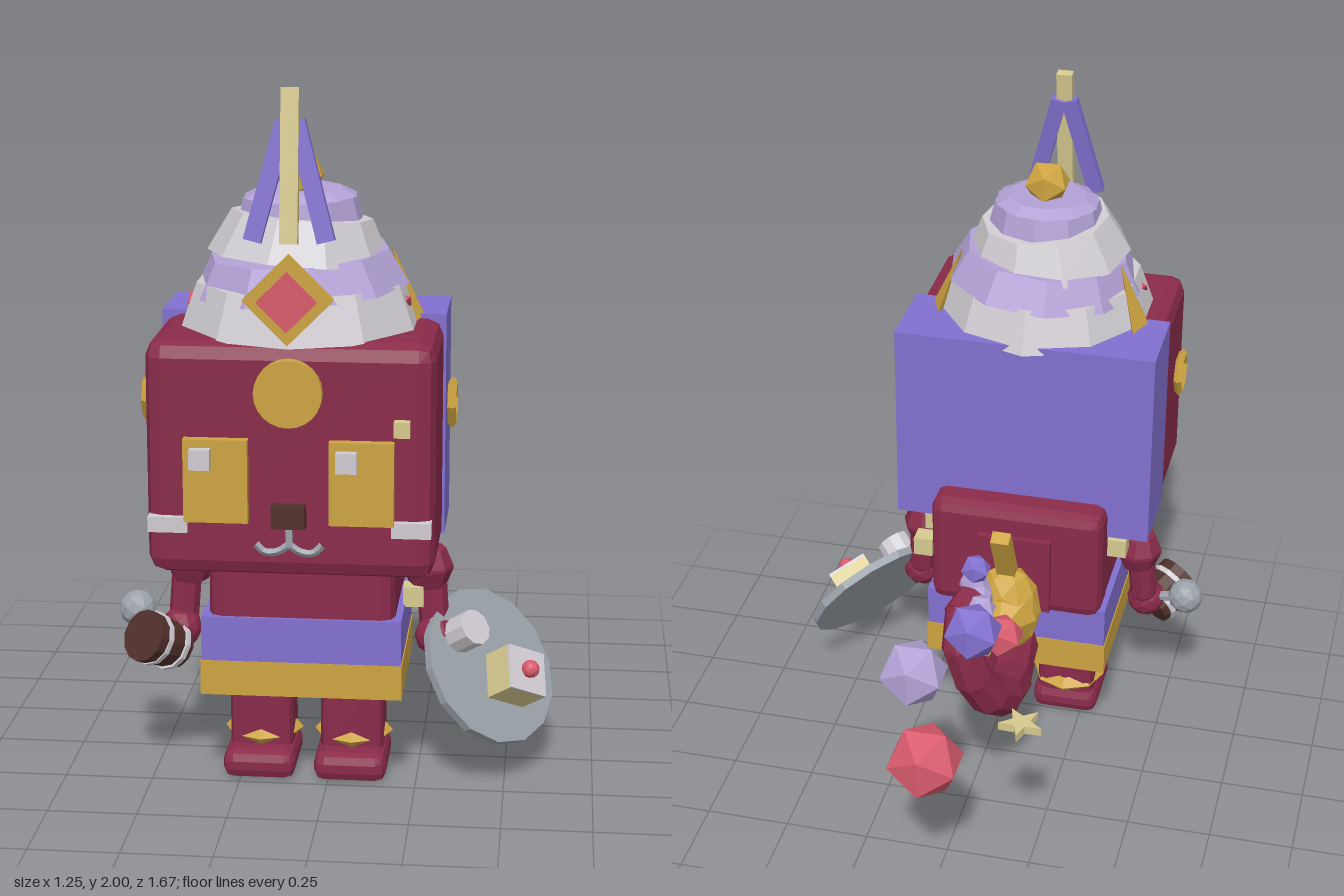
import * as THREE from 'three';
import { RoundedBoxGeometry } from 'three/addons/geometries/RoundedBoxGeometry.js';

const colours = {
  maroon: 0x8a2b4a, purple: 0x8270cf, gold: 0xcda441, lavender: 0xb3a2d6, white: 0xd0ccd2,
  grey: 0x9aa1a8, brown: 0x50302a, pink: 0xd85a6c, cream: 0xd6c98f,
};
const CX = -0.067; // middle of the figure

export function createModel() {
  const model = new THREE.Group();
  model.name = 'catFigure';
  const mats = {};
  for (const [name, color] of Object.entries(colours)) {
    mats[name] = new THREE.MeshStandardMaterial({ color });
    mats[name].name = name;
  }

  // Faceted mesh at a position
  function add(name, geo, mat, pos = [0, 0, 0], parent = model) {
    const g = geo.index ? geo.toNonIndexed() : geo;
    g.computeVertexNormals();
    const mesh = new THREE.Mesh(g, mats[mat]);
    mesh.name = name;
    mesh.position.set(...pos);
    parent.add(mesh);
    return mesh;
  }
  const box = (w, h, d) => new THREE.BoxGeometry(w, h, d);
  const chamfer = (w, h, d, r) => new RoundedBoxGeometry(w, h, d, 1, r);
  const cyl = (rt, rb, h, n) => new THREE.CylinderGeometry(rt, rb, h, n);
  const ico = (r, detail = 0) => new THREE.IcosahedronGeometry(r, detail);
  const UP = new THREE.Vector3(0, 1, 0);
  // Point a y-aligned mesh along the line a-b
  function between(mesh, a, b) {
    const A = new THREE.Vector3(...a), B = new THREE.Vector3(...b);
    mesh.position.copy(A).lerp(B, 0.5);
    mesh.quaternion.setFromUnitVectors(UP, B.sub(A).normalize());
    return mesh;
  }
  const dist = (a, b) => new THREE.Vector3(...a).distanceTo(new THREE.Vector3(...b));
  function capsule(name, a, b, r, mat) {
    return between(add(name, new THREE.CapsuleGeometry(r, dist(a, b), 2, 8), mat), a, b);
  }

  // Torso, belt bands and back pack
  add('torso', chamfer(0.52, 0.45, 0.42, 0.04), 'maroon', [CX, 0.505, 0.325]);
  add('sash', box(0.558, 0.13, 0.44), 'purple', [CX, 0.443, 0.325]);
  add('skirt', box(0.564, 0.1, 0.446), 'gold', [CX, 0.33, 0.325]);
  add('backPack', chamfer(0.53, 0.36, 0.14, 0.035), 'maroon', [CX, 0.665, 0.155]);
  add('backPocket', box(0.225, 0.25, 0.08), 'maroon', [CX, 0.63, 0.105]);

  // Legs, feet, anklets
  for (const s of [-1, 1]) {
    const x = CX + s * 0.13;
    add('leg', chamfer(0.18, 0.26, 0.17, 0.03), 'maroon', [x, 0.18, 0.335]);
    add('foot', chamfer(0.205, 0.085, 0.25, 0.03), 'maroon', [x, 0.0425, 0.365]);
    add('anklet', new THREE.TorusGeometry(0.087, 0.026, 4, 8).rotateX(Math.PI / 2), 'gold', [x, 0.106, 0.33]);
    // Arms
    const ax = CX + s * 0.34;
    capsule('upperArm', [ax, 0.6, 0.33], [ax, 0.61, 0.33], 0.072, 'maroon');
    capsule('lowerArm', [ax + s * 0.02, 0.44, 0.34], [ax + s * 0.01, 0.58, 0.33], 0.043, 'maroon');
    add('hand', ico(0.06, 1), 'maroon', [ax + s * 0.025, 0.41, 0.36]);
  }
  for (const p of [[-0.355, 0.665, 0.25], [0.225, 0.66, 0.13], [0.22, 0.68, 0.25], [0.235, 0.53, 0.36]]) {
    add('bead', box(0.058, 0.058, 0.058), 'cream', p);
  }

  // Head and hood
  add('head', chamfer(0.765, 0.636, 0.59, 0.045), 'maroon', [CX, 1.025, 0.495]);
  add('hood', box(0.78, 0.62, 0.255), 'purple', [CX, 1.045, 0.305]);

  // Face
  for (const s of [-1, 1]) {
    add('eye', box(0.17, 0.225, 0.03), 'gold', [CX + s * 0.192, 0.977, 0.803]);
    add('eyeGlint', box(0.055, 0.055, 0.025), 'white', [CX + s * 0.192 - 0.038, 1.04, 0.83]);
    add('whisker', box(0.105, 0.042, 0.04), 'white', [CX + s * 0.322, 0.853, 0.79]);
    const mouth = new THREE.CatmullRomCurve3([[0, 0.805], [0.03, 0.785], [0.065, 0.783], [0.088, 0.805]]
      .map(([x, y]) => new THREE.Vector3(CX + s * x, y, 0.795)));
    add('mouth', new THREE.TubeGeometry(mouth, 8, 0.011, 5), 'grey');
    // Ear rings
    add('earRing', new THREE.TorusGeometry(0.06, 0.012, 4, 6).rotateY(Math.PI / 2), 'gold', [CX + s * 0.414, 1.135, 0.53]);
  }
  add('mouthLine', box(0.018, 0.06, 0.02), 'grey', [CX, 0.828, 0.795]);
  add('nose', box(0.09, 0.06, 0.05), 'brown', [CX, 0.885, 0.805]);
  add('browBead', box(0.042, 0.042, 0.04), 'cream', [0.23, 1.127, 0.8]);
  add('foreheadDisc', cyl(0.09, 0.09, 0.03, 24).rotateX(Math.PI / 2), 'gold', [CX, 1.215, 0.803]);

  // Turban tiers: bottom radius, top radius, bottom y, top y, colour, tilt
  [
    [0.33, 0.285, 1.335, 1.46, 'white', 0],
    [0.295, 0.245, 1.44, 1.535, 'lavender', 0.06],
    [0.248, 0.19, 1.52, 1.635, 'white', -0.08],
    [0.17, 0.155, 1.62, 1.685, 'lavender', 0.02],
    [0.155, 0.115, 1.685, 1.705, 'lavender', 0.02],
  ].forEach(([rb, rt, y0, y1, mat, tilt], i) => {
    const m = add('hatTier', cyl(rt, rb, y1 - y0, 10), mat, [CX, (y0 + y1) / 2, 0.487]);
    m.rotation.set(tilt / 3, i * 0.2, tilt);
  });
  add('hatBall', ico(0.07), 'gold', [CX, 1.74, 0.487]);
  for (const s of [-1, 1]) {
    const fin = add('hatFin', cyl(0, 0.085, 0.21, 4).scale(0.35, 1, 1), 'gold', [CX + s * 0.27, 1.44, 0.41]);
    fin.rotation.z = s * 0.3;
    add('hatStud', new THREE.TetrahedronGeometry(0.026), 'pink', [CX + s * 0.285, 1.41, 0.53]);
  }

  // Hat jewel
  add('jewelFrame', box(0.165, 0.165, 0.045), 'gold', [CX, 1.46, 0.795]).rotation.z = Math.PI / 4;
  add('jewel', box(0.11, 0.11, 0.03), 'pink', [CX, 1.46, 0.826]).rotation.z = Math.PI / 4;

  // Plumes
  function plume(a, b, mat) {
    between(add('plume', box(0.047, dist(a, b), 0.03), mat), a, b);
  }
  plume([CX, 1.6, 0.765], [CX, 1.995, 0.71], 'cream');
  for (const s of [-1, 1]) plume([CX + s * 0.096, 1.605, 0.755], [CX + s * 0.015, 1.91, 0.713], 'purple');

  // Shield carried on the left, facing along its local z
  const shield = new THREE.Group();
  shield.name = 'shield';
  shield.position.set(0.45, 0.315, 0.34);
  shield.lookAt(0.45 + 0.66, 0.315 + 0.54, 0.34 + 0.52);
  model.add(shield);
  add('shieldDisc', cyl(0.232, 0.232, 0.025, 14).rotateX(Math.PI / 2), 'grey', [0, 0, 0], shield);
  add('shieldPeg', cyl(0.052, 0.052, 0.1, 10).rotateX(Math.PI / 2), 'white', [-0.08, 0.11, 0.04], shield);
  const block = new THREE.Group();
  block.name = 'shieldBlock';
  block.position.set(0.02, -0.057, 0);
  block.rotation.z = -0.5;
  shield.add(block);
  add('block', box(0.13, 0.13, 0.1), 'cream', [0, 0, 0.055], block);
  add('blockFace', box(0.13, 0.13, 0.008), 'white', [0, 0, 0.109], block);
  add('blockStud', ico(0.026, 1), 'pink', [0, 0, 0.125], block);

  // Drum carried on the right
  const drum = new THREE.Group();
  drum.name = 'drum';
  drum.position.set(-0.483, 0.392, 0.43);
  drum.quaternion.setFromUnitVectors(UP, new THREE.Vector3(-0.5, 0.4, 0.65).normalize());
  model.add(drum);
  add('drumBarrel', cyl(0.075, 0.068, 0.14, 12), 'brown', [0, 0, 0], drum);
  for (const y of [-0.04, 0.03]) add('drumBand', cyl(0.077, 0.077, 0.016, 12), 'white', [0, y, 0], drum);
  add('malletBall', ico(0.055, 1), 'grey', [-0.562, 0.452, 0.33]);
  capsule('malletHandle', [-0.55, 0.45, 0.33], [-0.43, 0.41, 0.36], 0.015, 'grey');

  // Jointed tail
  const tail = [[CX, 0.36, 0.12], [-0.08, 0.35, 0.0], [-0.1, 0.365, -0.12], [-0.105, 0.405, -0.24], [-0.085, 0.47, -0.33],
    [-0.05, 0.57, -0.385], [-0.02, 0.68, -0.4], [-0.015, 0.765, -0.36], [-0.03, 0.785, -0.31]];
  for (let i = 0; i < tail.length - 1; i++) {
    const r = 0.074 - i * 0.003, a = tail[i], b = tail[i + 1];
    between(add('tailJoint', cyl(r * 0.9, r, dist(a, b) + 0.02, 8), 'maroon'), a, b);
    if (i) add('tailKnuckle', ico(r * 0.95, 1), 'maroon', a);
  }
  capsule('tailTip', [-0.05, 0.785, -0.3], [-0.015, 0.78, -0.22], 0.042, 'lavender');

  // Lamp behind the back
  add('lampBody', ico(0.11, 1).scale(0.95, 1.35, 0.75), 'gold', [CX, 0.56, -0.01]);
  add('lampSpout', cyl(0.015, 0.1, 0.1, 8).rotateX(-Math.PI / 2), 'gold', [CX, 0.555, -0.1]);
  add('lampPlug', box(0.045, 0.04, 0.05), 'pink', [CX, 0.552, -0.165]);
  const neck = [[CX, 0.65, 0.01], [CX, 0.87, -0.105]];
  between(add('lampNeck', box(0.055, dist(...neck), 0.04), 'gold'), ...neck);

  // Floating gems
  [
    [-0.03, 0.855, -0.255, 0.045, 'purple'], [0, 0.755, -0.18, 0.04, 'lavender'],
    [-0.07, 0.79, -0.355, 0.045, 'lavender'], [-0.15, 0.77, -0.44, 0.065, 'pink'],
    [-0.09, 0.84, -0.535, 0.085, 'purple'], [0.055, 0.745, -0.635, 0.1, 'lavender'],
    [0, 0.52, -0.73, 0.113, 'pink'],
  ].forEach(([x, y, z, r, mat]) => add('gem', ico(r), mat, [x, y, z]));

  // Floating star, lying flat
  const star = new THREE.Shape(Array.from({ length: 10 }, (_, i) => {
    const r = i % 2 ? 0.026 : 0.064, t = Math.PI / 2 + i * Math.PI / 5;
    return new THREE.Vector2(r * Math.cos(t), r * Math.sin(t));
  }));
  add('star', new THREE.ExtrudeGeometry(star, { depth: 0.025, bevelEnabled: false }).rotateX(-Math.PI / 2), 'cream', [-0.25, 0.602, -0.63]);

  return model;
}
